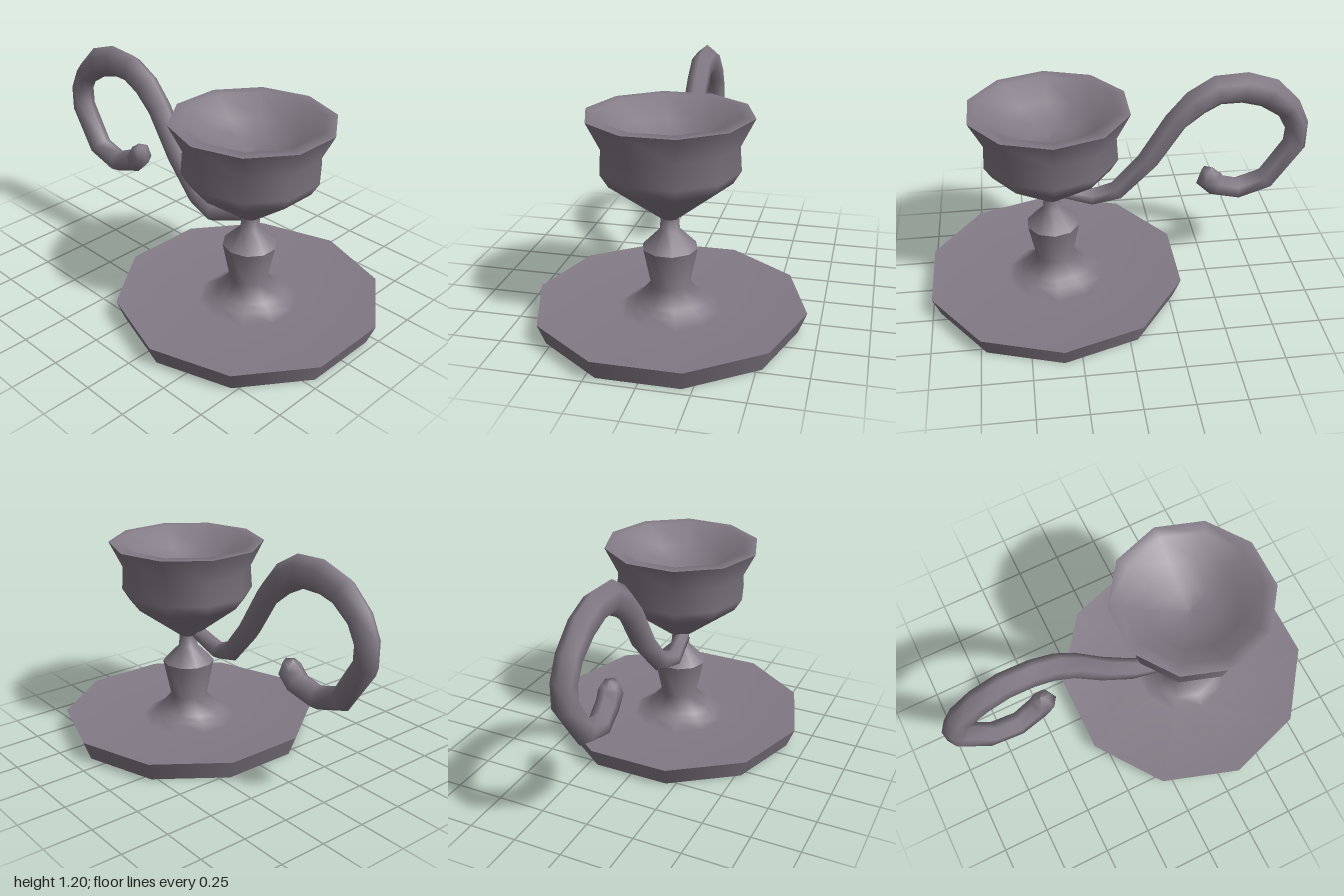
import * as THREE from 'three';

const SIDES = 10;
const AXIS_X = 0.341;

export function createModel() {
  const group = new THREE.Group();
  const pewter = new THREE.MeshStandardMaterial({ color: 0x827a85 });
  pewter.name = 'pewter';

  // Ten-sided turned section, profile given as [radius, height]
  function turned(name, profile) {
    const points = profile.map(([r, y]) => new THREE.Vector2(r, y));
    const mesh = new THREE.Mesh(new THREE.LatheGeometry(points, SIDES), pewter);
    mesh.name = name;
    mesh.position.x = AXIS_X;
    group.add(mesh);
  }

  // Base plate
  turned('baseUnderside', [[0, 0], [0.65, 0]]);
  turned('baseRim', [[0.65, 0], [0.69, 0.105]]);

  // Dished plate top flowing into the stem, then the stem shoulder and neck
  turned('baseTopAndStem', [[0.69, 0.105], [0.26, 0.065], [0.2, 0.1], [0.165, 0.125], [0.1, 0.2], [0.14, 0.4]]);
  turned('stemNeck', [[0.14, 0.4], [0.052, 0.49], [0.045, 0.56]]);

  // Candle cup, outside and shallow dished inside with a narrow lip
  turned('cupOutside', [[0.04, 0.55], [0.31, 0.755], [0.35, 0.82], [0.342, 0.94], [0.412, 1.08]]);
  turned('cupInside', [[0.412, 1.08], [0.35, 1.08], [0.24, 0.99], [0.12, 0.93], [0, 0.915]]);

  // Curled handle: [x, y, z, radius] along its centre line
  const path = [
    [0.34, 0.58, 0.03, 0.001], [0.3, 0.57, 0.035, 0.04], [0.13, 0.507, 0.05, 0.047],
    [0, 0.55, 0.03, 0.055], [-0.16, 0.725, 0.02, 0.06], [-0.3, 0.945, 0.02, 0.064],
    [-0.4, 1.045, 0.02, 0.078], [-0.51, 1.107, 0.025, 0.083], [-0.65, 1.113, 0.025, 0.085],
    [-0.78, 1.072, 0.03, 0.082], [-0.89, 0.98, 0.03, 0.066], [-0.94, 0.88, 0.03, 0.062],
    [-0.938, 0.77, 0.03, 0.068], [-0.8, 0.562, 0.035, 0.064], [-0.65, 0.515, 0.03, 0.062],
    [-0.53, 0.555, 0.01, 0.064], [-0.485, 0.605, 0.005, 0.07], [-0.49, 0.65, 0.005, 0.045],
    [-0.5, 0.668, 0.005, 0.001],
  ];
  const handle = new THREE.Mesh(sweep(path, 6), pewter);
  handle.name = 'curledHandle';
  group.add(handle);

  return group;
}

// Rings of varying radius along a path near the xy plane, flattened in z where thick
function sweep(path, sides) {
  const positions = [];
  const index = [];
  path.forEach(([x, y, z, r], i) => {
    const prev = path[Math.max(i - 1, 0)];
    const next = path[Math.min(i + 1, path.length - 1)];
    const t = new THREE.Vector2(next[0] - prev[0], next[1] - prev[1]).normalize();
    for (let j = 0; j < sides; j++) {
      const a = (j / sides) * Math.PI * 2;
      const n = r * Math.cos(a);
      positions.push(x - t.y * n, y + t.x * n, z + Math.min(r, 0.06) * Math.sin(a));
      if (i < path.length - 1) {
        const p = i * sides + j;
        const q = i * sides + ((j + 1) % sides);
        index.push(p, q, p + sides, q, q + sides, p + sides);
      }
    }
  });
  const geometry = new THREE.BufferGeometry();
  geometry.setAttribute('position', new THREE.Float32BufferAttribute(positions, 3));
  geometry.setIndex(index);
  geometry.computeVertexNormals();
  return geometry;
}
